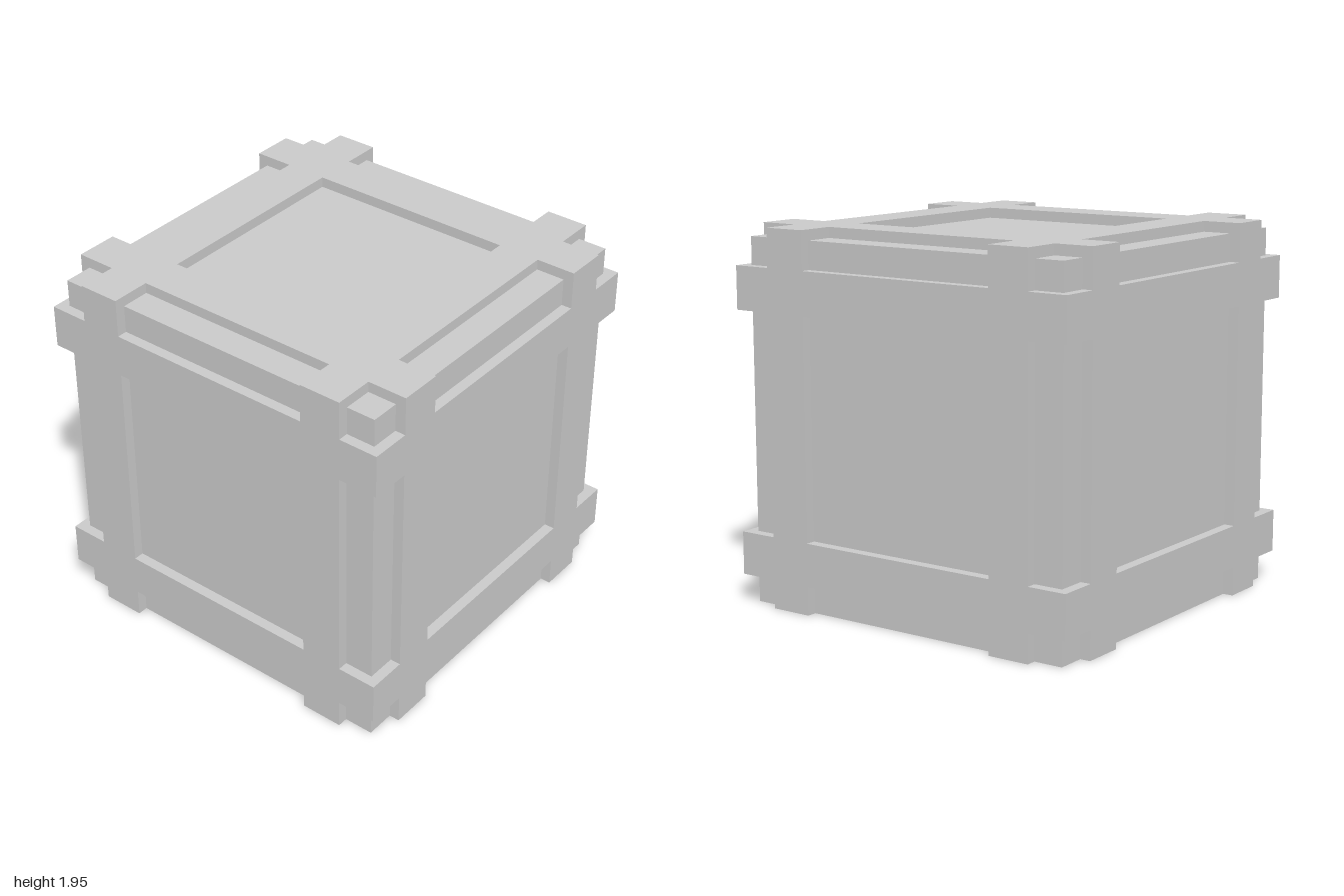
import * as THREE from 'three';

// Grid lines per axis: shell | edge strip | band | centre | band | edge strip | shell
const side = [-1, -0.945, -0.79, -0.565, 0.565, 0.79, 0.945, 1];
const height = [-0.05, 0, 0.15, 0.375, 1.525, 1.75, 1.895, 1.95];
const grid = [side, height, side];

const inCore = (c) => c.every((n) => n >= 1 && n <= 5);
const inBand = (c) => c.some((n) => n === 2 || n === 4);

// Which part a grid cell belongs to; the layer under the base is empty
function partOf(c) {
  if (c.some((n) => n < 0 || n > 6) || c[1] === 0) return null;
  if (inCore(c)) return 'recessedPanels';
  return inBand(c) ? 'wrapBands' : null;
}

// One rectangular face of a cell, facing along axis in direction dir
function addFace(out, cell, axis, dir) {
  const u = (axis + 1) % 3, v = (axis + 2) % 3;
  const corner = (du, dv) => {
    const p = [0, 0, 0];
    p[axis] = grid[axis][cell[axis] + (dir > 0 ? 1 : 0)];
    p[u] = grid[u][cell[u] + du];
    p[v] = grid[v][cell[v] + dv];
    return p;
  };
  const q = [corner(0, 0), corner(1, 0), corner(1, 1), corner(0, 1)];
  if (dir < 0) q.reverse();
  for (const n of [0, 1, 2, 0, 2, 3]) out.push(...q[n]);
}

export function createModel() {
  const group = new THREE.Group();
  group.name = 'bandedCrate';
  const faces = { recessedPanels: [], wrapBands: [] };

  // Skin of the crate: every face between a filled and an empty cell
  for (let i = 0; i < 7; i++) for (let j = 0; j < 7; j++) for (let k = 0; k < 7; k++) {
    const cell = [i, j, k];
    const part = partOf(cell);
    if (!part) continue;
    for (let axis = 0; axis < 3; axis++) for (const dir of [-1, 1]) {
      const next = [...cell];
      next[axis] += dir;
      const openBottom = part === 'recessedPanels' && axis === 1 && next[1] === 0;
      if (!partOf(next) && !openBottom) addFace(faces[part], cell, axis, dir);
    }
  }

  // Thin hollow shell, open underneath
  const material = new THREE.MeshStandardMaterial({
    color: 0xcccccc, flatShading: true, side: THREE.DoubleSide,
  });
  for (const [name, points] of Object.entries(faces)) {
    const geometry = new THREE.BufferGeometry();
    geometry.setAttribute('position', new THREE.Float32BufferAttribute(points, 3));
    geometry.computeVertexNormals();
    const mesh = new THREE.Mesh(geometry, material);
    mesh.name = name;
    group.add(mesh);
  }
  return group;
}
